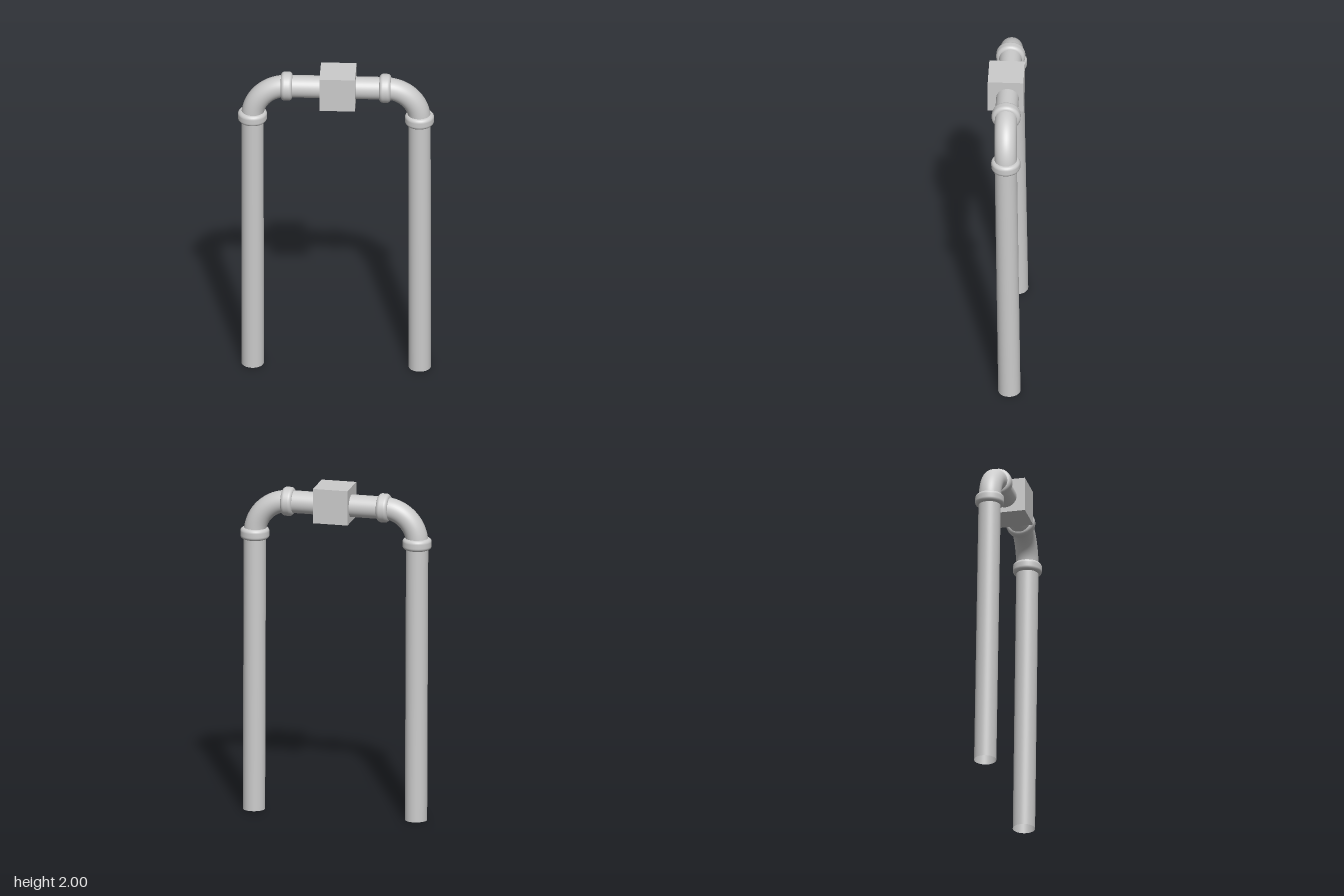
import * as THREE from 'three';

const R = 0.066; // pipe radius
const UP = new THREE.Vector3(0, 1, 0);
const material = new THREE.MeshStandardMaterial({ color: 0xcccccc, side: THREE.DoubleSide });

function add(group, name, geometry) {
  const mesh = new THREE.Mesh(geometry, material);
  mesh.name = name;
  group.add(mesh);
  return mesh;
}

// Open straight pipe between two points
function pipe(group, name, a, b, radius) {
  const mesh = add(group, name, new THREE.CylinderGeometry(radius, radius, a.distanceTo(b), 40, 1, true));
  mesh.position.copy(a).lerp(b, 0.5);
  mesh.quaternion.setFromUnitVectors(UP, b.clone().sub(a).normalize());
}

// Coupling ring with rounded edges, turned around the given axis
function ring(group, name, centre, axis) {
  const half = 0.034, outer = 0.086, round = 0.022;
  const points = [new THREE.Vector2(R - 0.004, -half)];
  for (const end of [-1, 1]) {
    for (let i = 0; i <= 6; i++) {
      const t = (i / 6) * Math.PI / 2;
      const angle = end < 0 ? t - Math.PI / 2 : t;
      points.push(new THREE.Vector2(
        outer - round + round * Math.cos(angle),
        end * (half - round) + round * Math.sin(angle)));
    }
  }
  points.push(new THREE.Vector2(R - 0.004, half));
  const mesh = add(group, name, new THREE.LatheGeometry(points, 40));
  mesh.position.copy(centre);
  mesh.quaternion.setFromUnitVectors(UP, axis);
}

export function createModel() {
  const group = new THREE.Group();
  const barY = 1.887, barZ = -0.012, ringY = 1.683;

  // Crossbar and the square block around its middle
  pipe(group, 'crossbar', new THREE.Vector3(-0.29, barY, barZ), new THREE.Vector3(0.29, barY, barZ), 0.067);
  const block = add(group, 'centreBlock', new THREE.BoxGeometry(0.21, 0.21, 0.21));
  block.position.set(0.01, 1.895, 0);

  // Each side: leaning leg, elbow and two couplings
  const sides = [
    { name: 'left', x: 0.49, inner: 0.288, z: -0.019 },
    { name: 'right', x: -0.495, inner: -0.293, z: -0.013 },
  ];
  for (const { name, x, inner, z } of sides) {
    const foot = new THREE.Vector3(x, 0, -0.04);
    const top = new THREE.Vector3(x, ringY, z);
    const barEnd = new THREE.Vector3(inner, barY, barZ);
    const lean = top.clone().sub(foot).normalize();
    pipe(group, name + 'Leg', foot, top, R);

    // Quarter-circle bend from the leg to the crossbar
    const k = 0.5523;
    const bend = new THREE.CubicBezierCurve3(
      top,
      top.clone().addScaledVector(lean, (barY - ringY) * k),
      new THREE.Vector3(inner + (x - inner) * k, barY, barZ),
      barEnd);
    add(group, name + 'Elbow', new THREE.TubeGeometry(bend, 28, R, 40, false));

    ring(group, name + 'LegCoupling', top, lean);
    ring(group, name + 'BarCoupling', barEnd, new THREE.Vector3(1, 0, 0));
  }
  return group;
}
